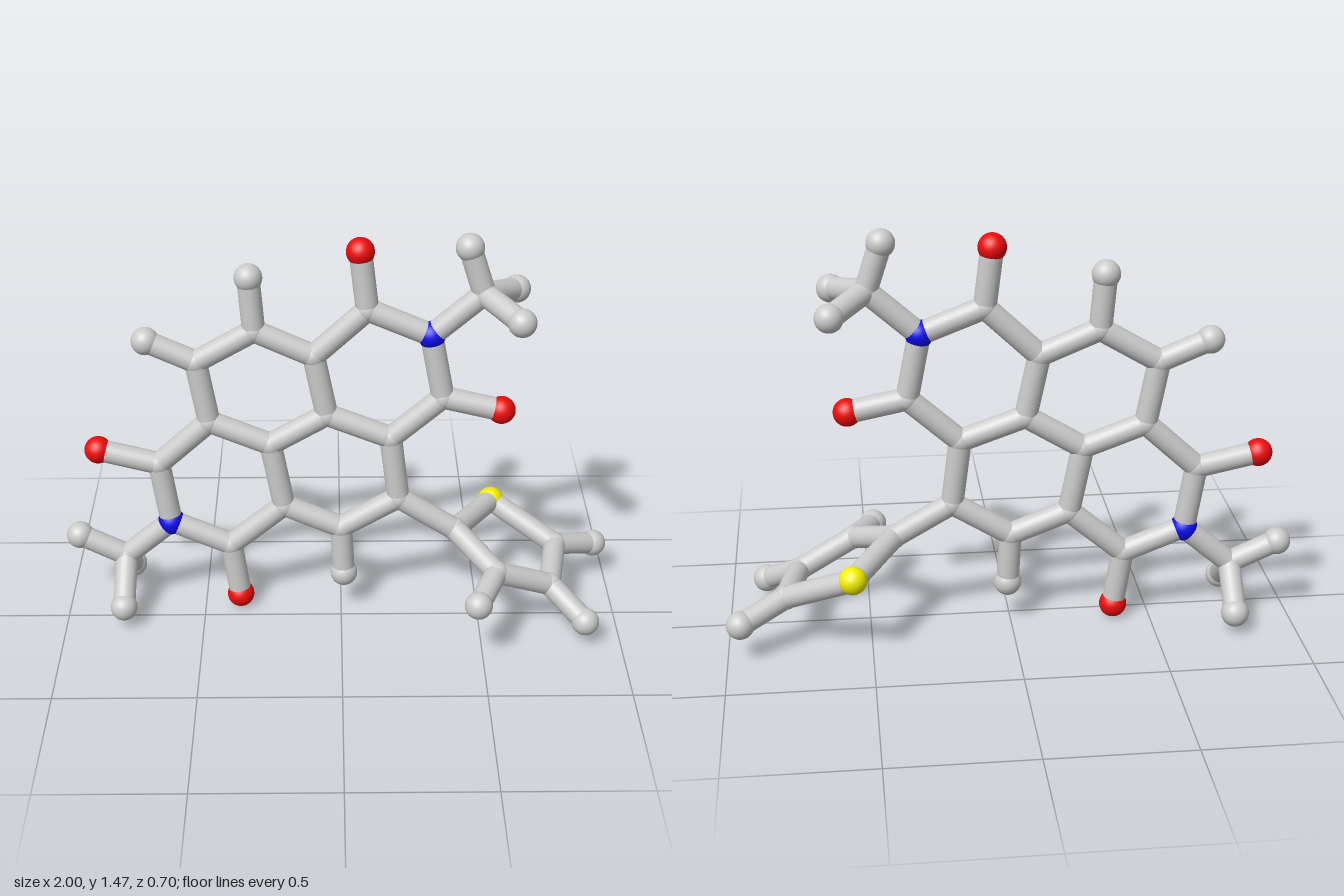
import * as THREE from 'three';

const BALL = 0.049, ROD = 0.04;

// The fused rings lie in one slightly tilted plane
const planeZ = (x, y) => -0.051 + 0.0465 * x - 0.0373 * y;

// name: [x, y, z]; z is left out for atoms in the ring plane.
// The first letter is the element.
const ATOMS = {
  // upper imide ring
  C1: [0.09, 1.19], O1: [0.065, 1.4], N1: [0.31, 1.1], C2: [0.355, 0.865], O2: [0.56, 0.82],
  // central double ring
  C3: [0.175, 0.705], C4: [-0.05, 0.79], C5: [-0.095, 1.015], C6: [-0.3, 1.105], C7: [-0.505, 0.985],
  C8: [-0.465, 0.755], C9: [-0.25, 0.67], C10: [-0.205, 0.425], C11: [0, 0.34], C12: [0.205, 0.465],
  H6: [-0.315, 1.3], H7: [-0.677, 1.06], H11: [0.01, 0.15],
  // lower imide ring
  C13: [-0.65, 0.585], O13: [-0.865, 0.635], N2: [-0.615, 0.35], C14: [-0.4, 0.26], O14: [-0.37, 0.05],
  // methyl groups
  C15: [0.485, 1.255], H15a: [0.432, 1.42], H15b: [0.6, 1.22, 0.085], H15c: [0.61, 1.21, -0.217],
  C16: [-0.785, 0.205], H16a: [-0.952, 0.285], H16b: [-0.788, 0.08, 0.062], H16c: [-0.78, 0.075, -0.24],
  // five-sided side ring
  C17: [0.41, 0.34, -0.043], C18: [0.55, 0.265, 0.13], C19: [0.75, 0.175, 0.07],
  C20: [0.795, 0.19, -0.178], S1: [0.563, 0.305, -0.305],
  H18: [0.475, 0.24, 0.3], H19: [0.87, 0.09, 0.185], H20: [0.951, 0.137, -0.267],
};

// Each chain joins its atoms in order
const CHAINS = [
  'C1 N1 C2 C3 C4 C5 C1', 'C5 C6 C7 C8 C9 C4', 'C9 C10 C11 C12 C3',
  'C8 C13 N2 C14 C10', 'C1 O1', 'C2 O2', 'C13 O13', 'C14 O14',
  'C6 H6', 'C7 H7', 'C11 H11',
  'N1 C15 H15a', 'H15b C15 H15c', 'N2 C16 H16a', 'H16b C16 H16c',
  'C12 C17 C18 C19 C20 S1 C17', 'C18 H18', 'C19 H19', 'C20 H20',
];

const ELEMENTS = {
  C: { name: 'carbonJoint', color: 0xcccccc, radius: 0.043 },
  H: { name: 'hydrogenBall', color: 0xcccccc, radius: BALL },
  O: { name: 'oxygenBall', color: 0xee0c0c, radius: BALL },
  N: { name: 'nitrogenBall', color: 0x0c0cee, radius: BALL },
  S: { name: 'sulfurBall', color: 0xf2ee00, radius: BALL },
};

export function createModel() {
  const model = new THREE.Group();
  model.name = 'molecule';
  const atoms = new THREE.Group(), bonds = new THREE.Group();
  atoms.name = 'atoms';
  bonds.name = 'bonds';
  model.add(atoms, bonds);

  // One shared ball and material per element
  const kits = {};
  for (const [key, e] of Object.entries(ELEMENTS)) {
    kits[key] = {
      geometry: new THREE.SphereGeometry(e.radius, 28, 18),
      material: new THREE.MeshStandardMaterial({ color: e.color }),
    };
  }

  const points = {};
  for (const [id, [x, y, z = planeZ(x, y)]] of Object.entries(ATOMS)) {
    const ball = new THREE.Mesh(kits[id[0]].geometry, kits[id[0]].material);
    ball.name = ELEMENTS[id[0]].name;
    ball.position.set(x, y, z);
    points[id] = ball.position;
    atoms.add(ball);
  }

  // Rods between neighbouring atoms
  const rodGeometry = new THREE.CylinderGeometry(ROD, ROD, 1, 24, 1, true);
  const up = new THREE.Vector3(0, 1, 0);
  for (const chain of CHAINS) {
    const ids = chain.split(' ');
    for (let i = 1; i < ids.length; i++) {
      const a = points[ids[i - 1]], b = points[ids[i]];
      const dir = b.clone().sub(a);
      const rod = new THREE.Mesh(rodGeometry, kits.C.material);
      rod.name = 'bond';
      rod.scale.y = dir.length();
      rod.position.copy(a).add(b).multiplyScalar(0.5);
      rod.quaternion.setFromUnitVectors(up, dir.normalize());
      bonds.add(rod);
    }
  }
  return model;
}
